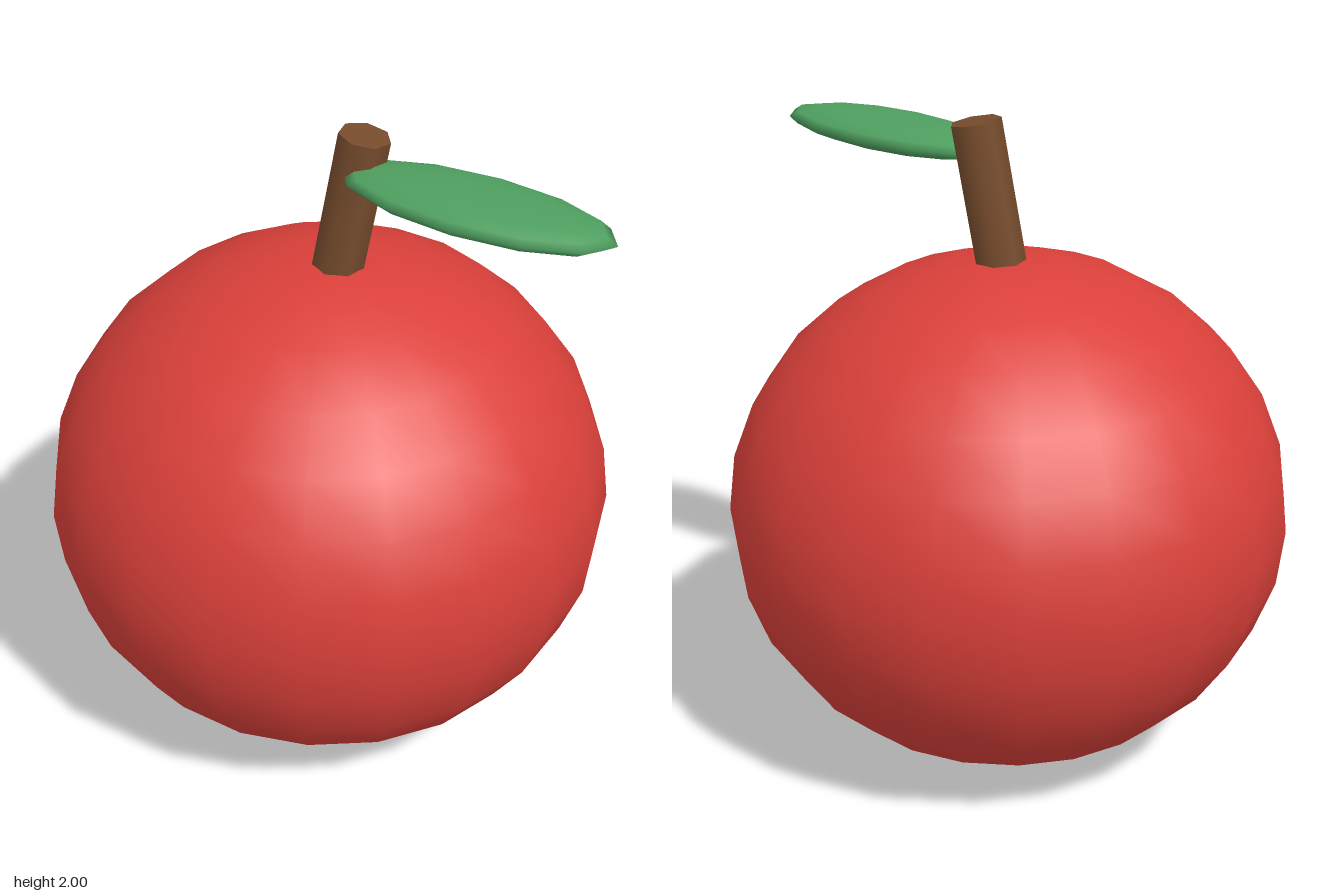
import * as THREE from 'three';

const paint = (name, color) => {
  const material = new THREE.MeshStandardMaterial({ color });
  material.name = name;
  return material;
};

export function createModel() {
  const model = new THREE.Group();
  model.name = 'fruit';

  const add = (name, geometry, material, x, y, z) => {
    const mesh = new THREE.Mesh(geometry, material);
    mesh.name = name;
    mesh.position.set(x, y, z);
    model.add(mesh);
    return mesh;
  };

  // Slightly squashed round body
  const body = new THREE.SphereGeometry(0.86, 20, 14).scale(1, 0.919, 1);
  add('body', body, paint('red skin', 0xdb403a), 0, 0.79, 0);

  // Seven-sided stem leaning to the left, its foot sunk into the body
  const tilt = 0.175, length = 0.55;
  const stemShape = new THREE.CylinderGeometry(0.077, 0.077, length, 7).rotateY(Math.PI);
  const stem = add('stem', stemShape, paint('brown bark', 0x774c2d),
    0.1 - Math.sin(tilt) * length / 2, 1.987 - Math.cos(tilt) * length / 2, 0);
  stem.rotation.z = -tilt;

  // Flat oval leaf, level and swung forward from the stem
  const leafShape = new THREE.SphereGeometry(1, 12, 8).scale(0.421, 0.05, 0.157);
  const leaf = add('leaf', leafShape, paint('green leaf', 0x4f9f60), 0.42, 1.89, 0.202);
  leaf.rotation.y = -0.45;

  return model;
}
